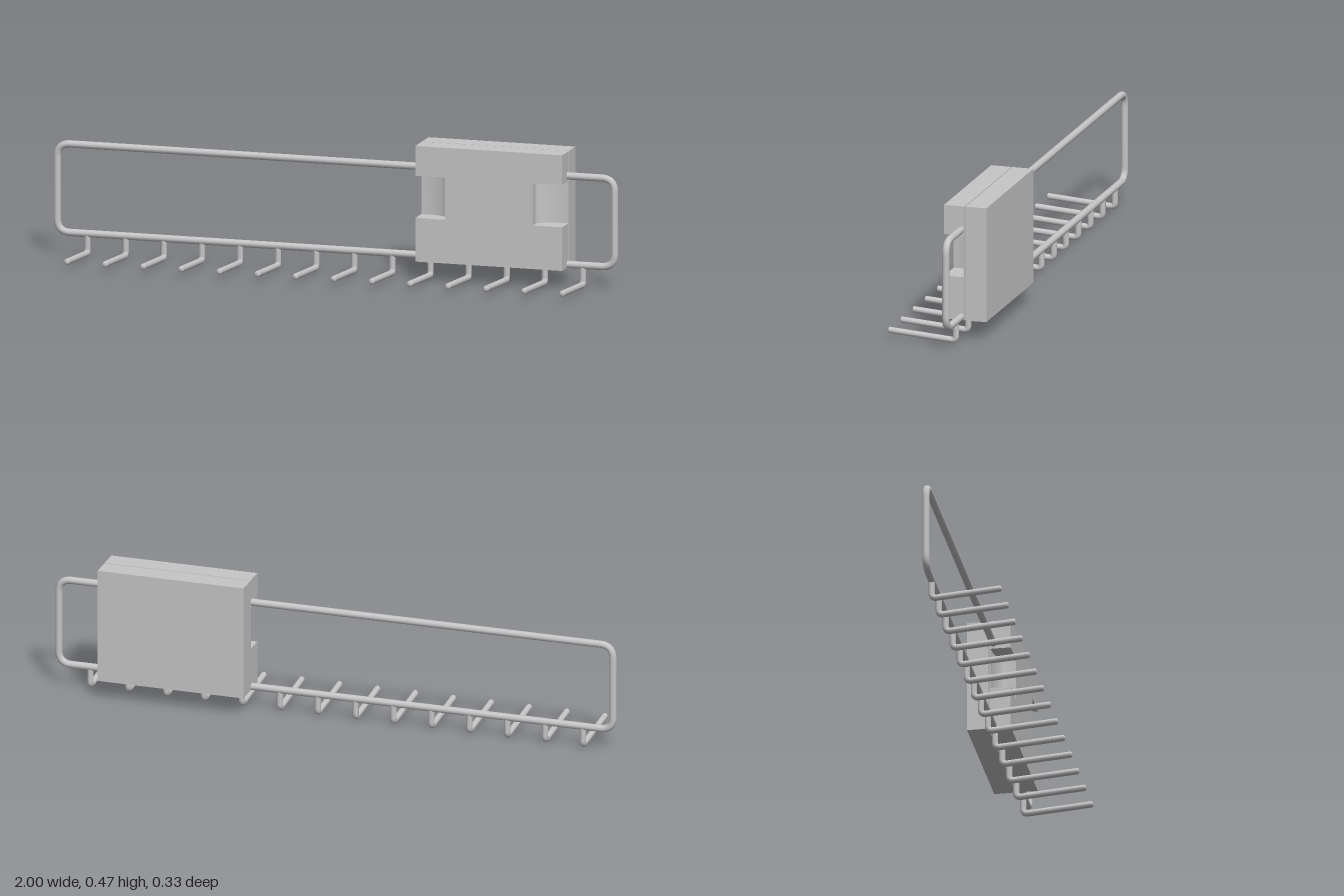
import * as THREE from 'three';
import { toCreasedNormals } from 'three/addons/utils/BufferGeometryUtils.js';

const BAR_Z = -0.075;
const V = (x, y, z) => new THREE.Vector3(x, y, z);

// Path through points, with each bend rounded off
function bentPath(points, r, closed) {
  const path = new THREE.CurvePath();
  const n = points.length;
  const toward = (a, b) => a.clone().add(b.clone().sub(a).setLength(r));
  let last = closed ? toward(points[0], points[1]) : points[0];
  for (let i = 1; i < (closed ? n + 1 : n - 1); i++) {
    const p = points[i % n];
    const a = toward(p, points[i - 1]), b = toward(p, points[(i + 1) % n]);
    path.add(new THREE.LineCurve3(last, a));
    path.add(new THREE.QuadraticBezierCurve3(a, p, b));
    last = b;
  }
  if (!closed) path.add(new THREE.LineCurve3(last, points[n - 1]));
  return path;
}

export function createModel() {
  const metal = new THREE.MeshStandardMaterial({ color: 0xc6c6c6 });
  metal.name = 'light grey metal';
  const group = new THREE.Group();
  group.name = 'hookRack';
  const add = (name, geometry, parent = group) => {
    const mesh = new THREE.Mesh(geometry, metal);
    mesh.name = name;
    parent.add(mesh);
    return mesh;
  };

  // Closed wire frame
  const frame = bentPath([
    V(-0.987, 0.078, BAR_Z), V(0.987, 0.078, BAR_Z),
    V(0.987, 0.384, BAR_Z), V(-0.987, 0.384, BAR_Z),
  ], 0.045, true);
  add('wireFrame', new THREE.TubeGeometry(frame, 420, 0.0125, 14, true));

  // Row of fourteen hooks with rounded tips
  const tip = V(0, 0.0272, 0.16);
  const hookPath = bentPath([V(0, 0.078, BAR_Z), V(0, 0.0105, BAR_Z), tip], 0.016, false);
  const hookGeo = new THREE.TubeGeometry(hookPath, 60, 0.0108, 12, false);
  const tipGeo = new THREE.SphereGeometry(0.0108, 12, 8);
  tipGeo.scale(1, 1, 0.6);
  for (let i = 0; i < 14; i++) {
    const hook = new THREE.Group();
    hook.name = 'hook' + (i + 1);
    hook.position.x = -0.88 + i * 0.135;
    add('hookRod', hookGeo, hook);
    add('hookTip', tipGeo, hook).position.copy(tip);
    group.add(hook);
  }

  // Clamp: plain back plate and front plate with scooped side notches
  const x0 = 0.3, x1 = 0.82, y0 = 0.067, y1 = 0.467;
  const slab = (name, ya, yb, za, zb) => {
    const geo = new THREE.BoxGeometry(x1 - x0, yb - ya, zb - za);
    add(name, geo).position.set((x0 + x1) / 2, (ya + yb) / 2, (za + zb) / 2);
  };
  const notchLow = 0.218, notchHigh = 0.364;
  slab('backPlate', y0, y1, -0.165, -0.091);
  slab('frontPlateLower', y0, notchLow, -0.088, -0.015);
  slab('frontPlateUpper', notchHigh, y1, -0.088, -0.015);

  // Plan outline of the notched band, shape y is -z
  const band = new THREE.Shape();
  band.moveTo(x0, 0.088);
  band.lineTo(x0, 0.084);
  band.absellipse(x0, 0.045, 0.105, 0.039, Math.PI / 2, 0, true);
  band.lineTo(x0 + 0.105, 0.015);
  band.lineTo(x1 - 0.105, 0.015);
  band.lineTo(x1 - 0.105, 0.045);
  band.absellipse(x1, 0.045, 0.105, 0.039, Math.PI, Math.PI / 2, true);
  band.lineTo(x1, 0.088);
  band.closePath();
  const bandGeo = new THREE.ExtrudeGeometry(band, {
    depth: notchHigh - notchLow, bevelEnabled: false, curveSegments: 16,
  });
  bandGeo.rotateX(-Math.PI / 2);
  bandGeo.translate(0, notchLow, 0);
  add('frontPlateNotched', toCreasedNormals(bandGeo, 0.5));

  return group;
}
